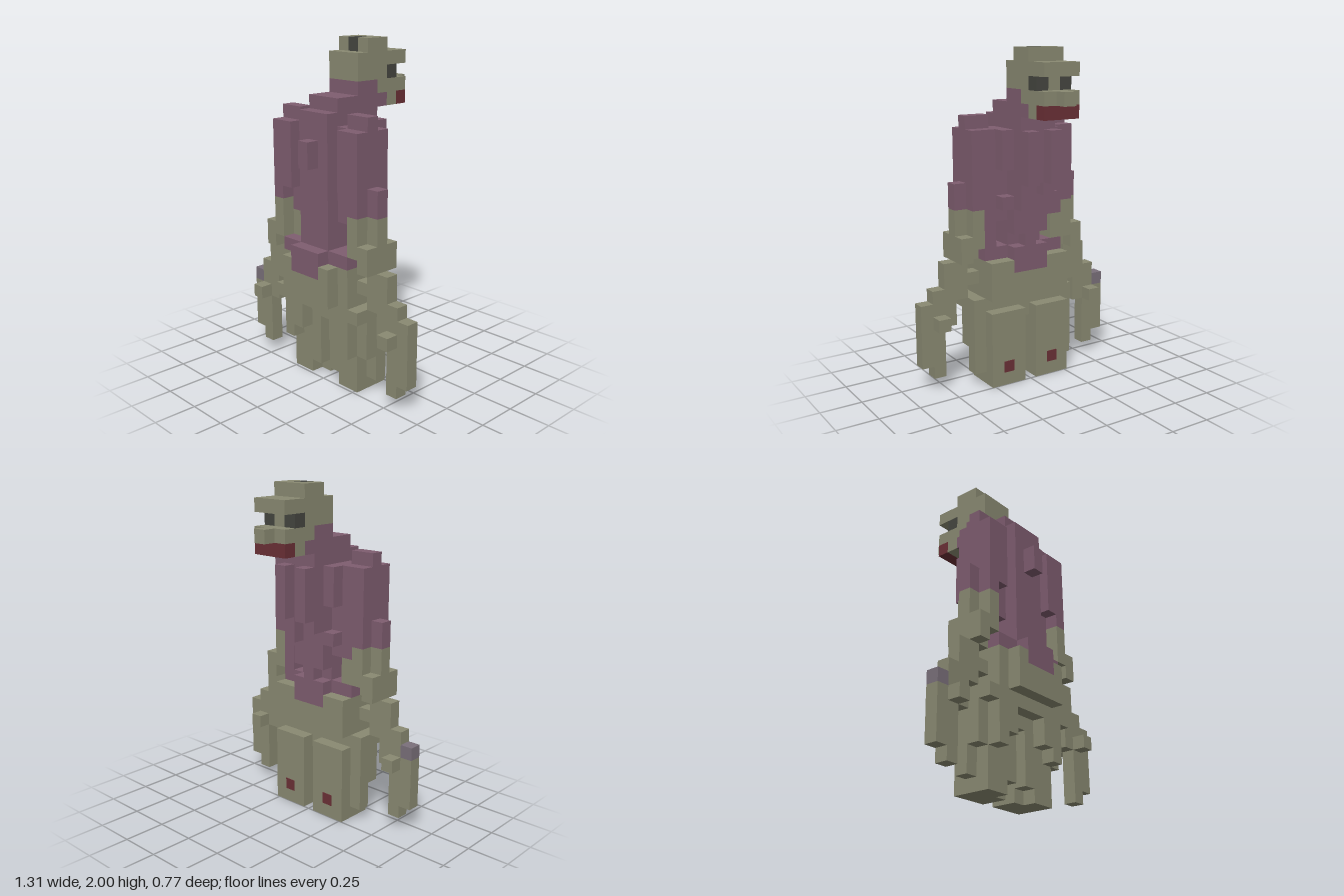
import * as THREE from 'three';

const U = 2 / 26; // size of one block

const mat = (name, color) => {
  const m = new THREE.MeshStandardMaterial({ color });
  m.name = name;
  return m;
};

export function createModel() {
  const olive = mat('olive', 0x8a8a72);
  const purple = mat('purple', 0x7f5d70);
  const dark = mat('charcoal', 0x454640);
  const red = mat('darkRed', 0x6b3036);
  const mauve = mat('mauveGrey', 0x7a707a);

  const root = new THREE.Group();
  root.name = 'blockCreature';
  const part = (name) => {
    const g = new THREE.Group();
    g.name = name;
    root.add(g);
    return g;
  };
  // Box from block ranges in x, y and z
  const box = (g, name, m, x0, x1, y0, y1, z0, z1) => {
    const mesh = new THREE.Mesh(
      new THREE.BoxGeometry((x1 - x0) * U, (y1 - y0) * U, (z1 - z0) * U), m);
    mesh.position.set((x0 + x1) * U / 2, (y0 + y1) * U / 2, (z0 + z1) * U / 2);
    mesh.name = name;
    g.add(mesh);
  };
  // The same box on both sides
  const pair = (g, name, m, x0, x1, ...r) => {
    box(g, name + 'Left', m, x0, x1, ...r);
    box(g, name + 'Right', m, -x1, -x0, ...r);
  };

  // Head
  const head = part('head');
  pair(head, 'crownSide', olive, 0.5, 1.5, 25, 26, -2, 0);
  box(head, 'crownFront', olive, -0.5, 0.5, 25, 26, -2, -1);
  box(head, 'blowhole', dark, -0.5, 0.5, 25, 26, -1, 0);
  box(head, 'brow', olive, -1.5, 1.5, 24, 25, -4, 1);
  box(head, 'skull', olive, -1.5, 1.5, 23, 24, -2, 1);
  box(head, 'noseBridge', olive, -0.5, 0.5, 23, 24, -3, -2);
  pair(head, 'eye', dark, 0.5, 1.5, 23, 24, -3, -2);
  box(head, 'upperJaw', olive, -1.5, 1.5, 22, 23, -4, -1);
  box(head, 'nose', olive, -0.5, 0.5, 22, 23, -5, -4);
  box(head, 'throat', olive, -1.5, 1.5, 21, 22, -3, -2);
  box(head, 'mouth', red, -1.5, 1.5, 21, 22, -4, -3);

  // Neck and torso
  const torso = part('torso');
  box(torso, 'neck', purple, -1.5, 1.5, 22, 23, -1, 1);
  box(torso, 'neckFront', purple, -1.5, 1.5, 21, 22, -2, -1);
  box(torso, 'collar', purple, -1.5, 1.5, 21, 22, -1, 3);
  box(torso, 'spine', purple, -1.5, 1.5, 11, 21, 1, 4);
  box(torso, 'spineBump', purple, -0.5, 0.5, 17, 19, 4, 5);
  pair(torso, 'shoulderFill', purple, 1.5, 2.5, 13, 20, 1, 3);
  pair(torso, 'sideRib', purple, 1.5, 2.5, 17, 20, 0, 1);
  pair(torso, 'lowSideRib', purple, 1.5, 2.5, 14, 15, 0, 1);
  box(torso, 'belly', purple, -1.5, 1.5, 12, 21, 0, 1);
  box(torso, 'lowerBelly', purple, -0.5, 0.5, 10, 12, 0, 1);

  // Ragged chest strands
  const chest = part('chestStrands');
  box(chest, 'middleStrand', purple, -0.5, 0.5, 16, 21, -1, 0);
  pair(chest, 'strand', purple, 0.5, 1.5, 15, 21, -1, 0);
  box(chest, 'strandTip', purple, 0.5, 1.5, 14, 15, -1, 0);
  pair(chest, 'chestRidge', purple, 0.5, 1.5, 16, 20, -2, -1);

  // Shoulder wings
  const wings = part('shoulderWings');
  pair(wings, 'wingRidge', purple, 2.5, 4.5, 20, 21, 2, 3);
  pair(wings, 'wing', purple, 2.5, 4.5, 15, 20, 1, 4);
  pair(wings, 'outerWing', purple, 3.5, 4.5, 14, 15, 1, 4);
  pair(wings, 'innerWing', purple, 2.5, 3.5, 13, 15, 1, 3);
  box(wings, 'innerWingTipLeft', purple, 2.5, 3.5, 11, 13, 1, 3);
  box(wings, 'innerWingTipRight', olive, -3.5, -2.5, 11, 13, 1, 3);
  pair(wings, 'outerWingTip', olive, 3.5, 4.5, 11, 14, 1, 4);
  pair(wings, 'wingEnd', olive, 3.5, 4.5, 10, 11, 2, 3);

  // Arms
  const arms = part('arms');
  pair(arms, 'armTop', purple, 4.5, 5.5, 14, 16, 2, 3);
  pair(arms, 'upperArm', olive, 4.5, 5.5, 7, 14, 2, 3);
  pair(arms, 'elbow', olive, 4.5, 5.5, 10, 12, 1, 4);
  pair(arms, 'hipLink', olive, 3.5, 4.5, 8, 9, 2, 3);
  pair(arms, 'forearm', olive, 5.5, 6.5, 5, 10, 2, 3);
  pair(arms, 'hand', olive, 6.5, 7.5, 1, 8, 2, 3);
  pair(arms, 'thumb', olive, 6.5, 7.5, 5, 6, 1, 4);
  pair(arms, 'finger', olive, 7.5, 8.5, 2, 6, 2, 3);
  box(arms, 'knuckleLeft', olive, 7.5, 8.5, 6, 7, 2, 3);
  box(arms, 'knuckleRight', mauve, -8.5, -7.5, 6, 7, 2, 3);

  // Hips with a purple sash
  const hips = part('hips');
  box(hips, 'hipBlock', olive, -3.5, 3.5, 7, 9, 0, 4);
  box(hips, 'hipPlate', olive, -2.5, 2.5, 7, 9, 4, 5);
  pair(hips, 'hipSide', olive, 1.5, 3.5, 9, 10, 0, 4);
  pair(hips, 'hipPlateSide', olive, 1.5, 2.5, 9, 10, 4, 5);
  box(hips, 'sash', purple, -1.5, 1.5, 9, 10, 0, 5);
  box(hips, 'belt', purple, -3.5, 3.5, 10, 11, 1, 4);
  box(hips, 'beltPlate', purple, -1.5, 1.5, 10, 11, 4, 5);
  box(hips, 'beltBack', purple, -1.5, 1.5, 10, 11, 0, 1);

  // Legs
  const legs = part('legs');
  box(legs, 'pelvis', olive, -4.5, 4.5, 6, 7, 1, 4);
  box(legs, 'crotch', olive, -0.5, 0.5, 5, 6, 1, 3);
  pair(legs, 'thigh', olive, 0.5, 3.5, 3, 6, 0, 3);
  pair(legs, 'outerThigh', olive, 3.5, 4.5, 3, 6, 1, 3);
  pair(legs, 'outerShin', olive, 3.5, 4.5, 1, 3, 1, 2);
  pair(legs, 'frontThigh', olive, 2.5, 3.5, 3, 6, 3, 4);
  pair(legs, 'innerFrontThigh', olive, 1.5, 2.5, 4, 6, 3, 4);
  pair(legs, 'shin', olive, 0.5, 3.5, 1, 3, 0, 3);
  pair(legs, 'foot', olive, 1.5, 3.5, 0, 1, 0, 3);
  pair(legs, 'innerFoot', olive, 0.5, 1.5, 0, 1, 0, 2);
  pair(legs, 'redSpot', red, 1.55, 2.45, 1.05, 1.95, -0.05, 0.02);
  return root;
}
